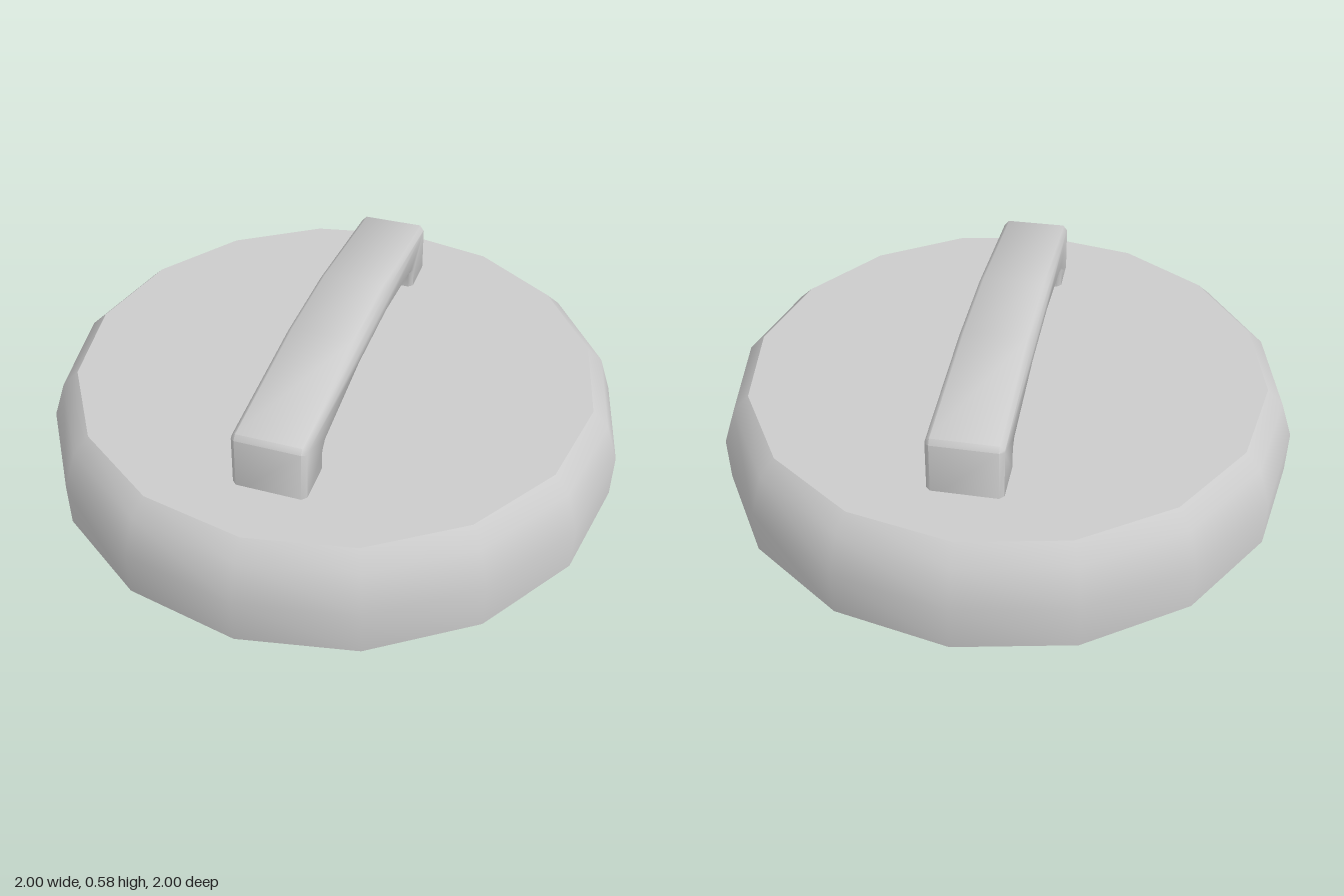
import * as THREE from 'three';
import { toCreasedNormals } from 'three/addons/utils/BufferGeometryUtils.js';

const material = new THREE.MeshStandardMaterial({ color: 0xcccccc });
const v = (x, y) => new THREE.Vector2(x, y);

function addPart(group, name, geometry, crease) {
  const mesh = new THREE.Mesh(toCreasedNormals(geometry, crease), material);
  mesh.name = name;
  group.add(mesh);
}

export function createModel() {
  const group = new THREE.Group();
  group.name = 'lid';

  // Sixteen-sided body with a stepped shoulder and a barely raised centre
  const profile = [
    v(0, 0), v(1, 0), v(1, 0.16), v(0.955, 0.29), v(0.9, 0.342),
    v(0.18, 0.343), v(0, 0.347),
  ];
  addPart(group, 'lidBody', new THREE.LatheGeometry(profile, 16), 0.65);

  // Arched handle: half outline (z, y), mirrored front to back
  const outer = [v(0.698, 0.31), v(0.69, 0.515), v(0.675, 0.53), v(0.17, 0.576)];
  const inner = [v(0.16, 0.465), v(0.505, 0.424), v(0.525, 0.405), v(0.53, 0.31)];
  const mirror = (points) => points.map((p) => v(-p.x, p.y)).reverse();
  const outline = new THREE.Shape([...outer, ...mirror(outer), ...mirror(inner), ...inner]);

  // Extruded across x with softly bevelled edges
  const width = 0.244, bevel = 0.015;
  const handle = new THREE.ExtrudeGeometry(outline, {
    depth: width - 2 * bevel, bevelEnabled: true, bevelThickness: bevel,
    bevelSize: bevel, bevelOffset: -bevel, bevelSegments: 1,
  });
  handle.translate(0, 0, -width / 2 + bevel);
  handle.rotateY(-Math.PI / 2);
  handle.translate(0.01, 0, 0);
  addPart(group, 'handle', handle, 0.85);

  return group;
}
